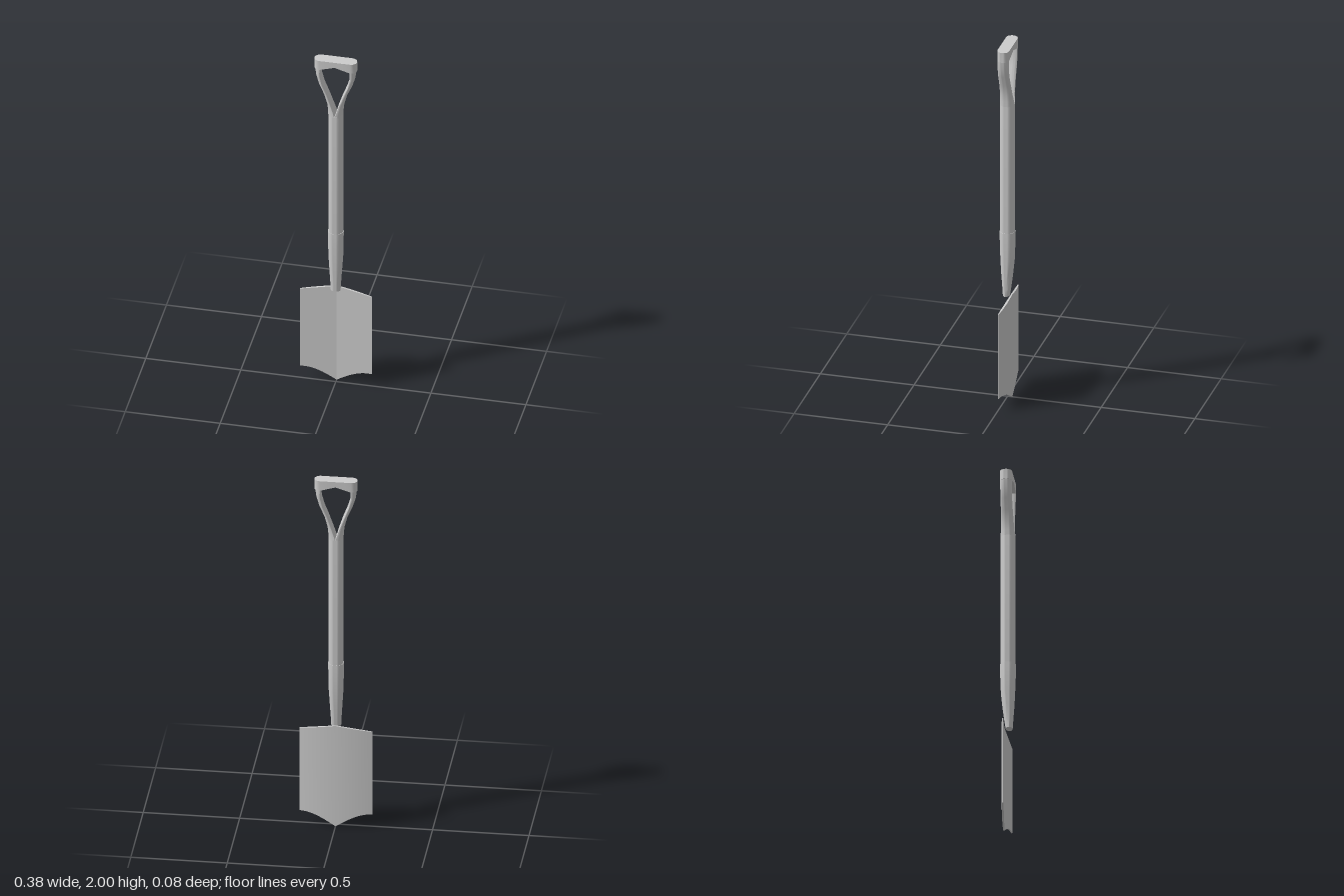
import * as THREE from 'three';
import { toCreasedNormals } from 'three/addons/utils/BufferGeometryUtils.js';

const lerp = THREE.MathUtils.lerp;
const steel = new THREE.MeshStandardMaterial({ color: 0xcccccc });
steel.name = 'light grey';

// Closed skin through a list of rings that all have the same number of points
function loft(rings, crease) {
  const n = rings[0].length, last = (rings.length - 1) * n, index = [];
  for (let i = 0; i < rings.length - 1; i++) {
    for (let j = 0; j < n; j++) {
      const a = i * n + j, b = i * n + (j + 1) % n;
      index.push(a, b, b + n, a, b + n, a + n);
    }
  }
  for (let j = 1; j < n - 1; j++) {
    index.push(0, j + 1, j, last, last + j, last + j + 1);
  }
  const geo = new THREE.BufferGeometry();
  geo.setAttribute('position', new THREE.Float32BufferAttribute(rings.flat(2), 3));
  geo.setIndex(index);
  return toCreasedNormals(geo, crease);
}

// Horizontal oval reaching from x0 to x1, widest in z at xm
function oval(y, x0, xm, x1, rz, zc = 0, side = 1) {
  const pts = [];
  for (let j = 0; j < 28; j++) {
    const a = (j / 28) * Math.PI * 2, c = Math.cos(a);
    const x = c > 0 ? lerp(xm, x1, c) : lerp(xm, x0, -c);
    pts.push([side * x, y, zc - rz * Math.sin(a)]);
  }
  return side > 0 ? pts : pts.reverse();
}

export function createModel() {
  const group = new THREE.Group();
  const add = (name, geo) => {
    const mesh = new THREE.Mesh(geo, steel);
    mesh.name = name;
    group.add(mesh);
  };

  // Dished blade: straight fold in front, rounded back, scalloped lower edge
  const W = 0.19, slices = [];
  for (let i = 0; i <= 32; i++) {
    const u = i / 16 - 1, t = Math.abs(u);
    const top = lerp(0.582, 0.55, t);
    const bottom = 0.072 * Math.sin(Math.min(1, t * 1.08) * Math.PI / 2);
    const front = lerp(-0.018, -0.001, t);
    const back = -0.006 - 0.019 * (1 - t * t);
    slices.push([[u * W, top, front], [u * W, bottom, front], [u * W, bottom, back], [u * W, top, back]]);
  }
  add('blade', loft(slices, 0.12));

  // Tapered socket: y, half width, half depth, z centre
  const socket = [
    [0.575, 0.026, 0.018, 0.006], [0.62, 0.028, 0.023, 0.004], [0.7, 0.033, 0.031, 0.002],
    [0.78, 0.038, 0.037, 0], [0.86, 0.04, 0.04, 0], [0.94, 0.041, 0.041, 0],
  ];
  add('socket', loft(socket.map(([y, w, d, z]) => oval(y, -w, 0, w, d, z)), 0.7));

  // Shaft
  add('shaft', loft([0.92, 1.665].map((y) => oval(y, -0.039, 0, 0.039, 0.039)), 0.7));

  // Forked arms: y, inner x, outer x, half depth, place of greatest depth
  const arm = [
    [1.66, 0, 0.039, 0.039, 0], [1.69, 0.006, 0.04, 0.036, 0.1], [1.73, 0.017, 0.044, 0.033, 0.25],
    [1.79, 0.037, 0.06, 0.031, 0.4], [1.85, 0.06, 0.087, 0.03, 0.4], [1.9, 0.075, 0.102, 0.03, 0.25],
    [1.95, 0.078, 0.109, 0.031, 0.06],
  ];
  for (const side of [1, -1]) {
    add(side > 0 ? 'leftArm' : 'rightArm', loft(arm.map(([y, x0, x1, d, m]) =>
      oval(y, x0, lerp(x0, x1, m), x1, d, 0, side)), 0.7));
  }

  // Grip bar with rounded ends and an arched underside
  const R = 0.031, C = 0.081, xs = [0, 0.04];
  for (let i = 0; i <= 6; i++) xs.push(C + R * Math.sin((i / 6) * Math.PI / 2));
  const all = [...xs.slice(1).reverse().map((x) => -x), ...xs];
  const under = (x) => Math.max(1.945, 1.969 - Math.abs(x) * 0.3);
  const barRings = all.map((x) => {
    const over = Math.max(0, Math.abs(x) - C);
    const z = Math.max(0.002, Math.sqrt(Math.max(0, R * R - over * over)));
    return [[x, 2, z], [x, under(x), z], [x, under(x), -z], [x, 2, -z]];
  });
  add('grip', loft(barRings, 0.7));

  return group;
}
